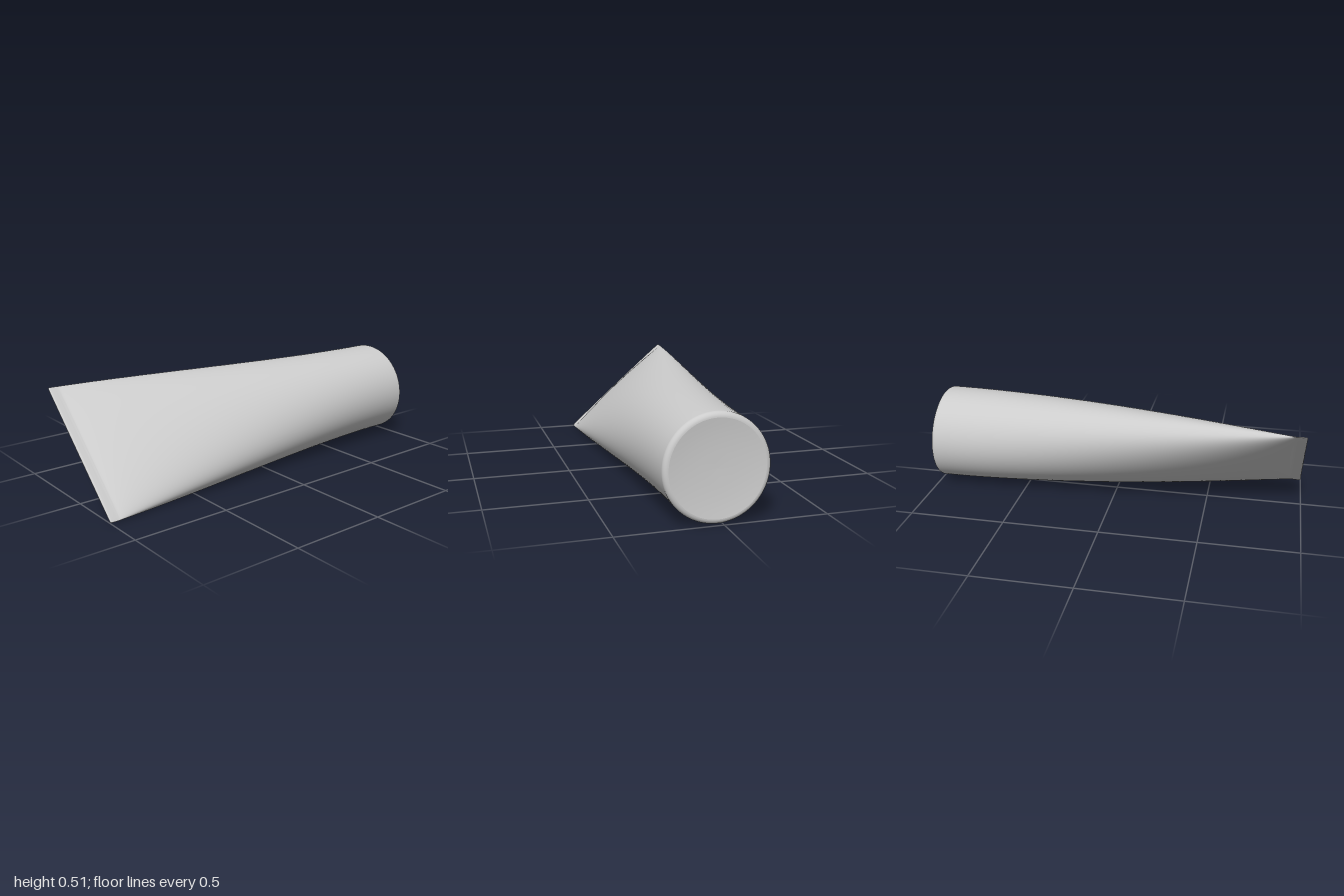
import * as THREE from 'three';

const SIDES = 96;
const U = new THREE.Vector2(0.748, -0.663); // direction of the flat seal
const V = new THREE.Vector2(0.663, 0.748);  // direction of the tube's thickness
const lerp = THREE.MathUtils.lerp;

// Ring of points: z position, half width a, half thickness b, point = sharpness of the ends
function ring({ z, a, b, point = 1 }) {
  const t = (z + 1) / 2;
  const cx = lerp(0.027, 0, t), cy = lerp(0.258, 0.262, t);
  const pts = [];
  for (let i = 0; i < SIDES; i++) {
    const ang = (i / SIDES) * Math.PI * 2;
    const s = Math.sin(ang);
    const u = a * Math.cos(ang);
    const v = b * Math.sign(s) * Math.pow(Math.abs(s), point);
    const dx = u * U.x + v * V.x, dy = u * U.y + v * V.y;
    // both ends are cut slightly askew
    const skew = lerp(0.04 * dy, 0.02 * dx, t);
    pts.push(cx + dx, cy + dy, z + skew);
  }
  return pts;
}

// Smooth skin over a list of rings running from back to front
function loft(name, sections, material) {
  const pos = sections.flatMap(ring);
  const index = [];
  for (let r = 0; r < sections.length - 1; r++) {
    for (let i = 0; i < SIDES; i++) {
      const p = r * SIDES + i, q = r * SIDES + (i + 1) % SIDES;
      index.push(p, q, p + SIDES, q, q + SIDES, p + SIDES);
    }
  }
  const geo = new THREE.BufferGeometry();
  geo.setAttribute('position', new THREE.Float32BufferAttribute(pos, 3));
  geo.setIndex(index);
  geo.computeVertexNormals();
  const mesh = new THREE.Mesh(geo, material);
  mesh.name = name;
  return mesh;
}

export function createModel() {
  const group = new THREE.Group();
  group.name = 'squeezeTube';
  const mat = new THREE.MeshStandardMaterial({ color: 0xcccccc, side: THREE.DoubleSide });
  const R = 0.251, back = -0.988, rim = 0.025, sealStart = 0.95;
  const sealA = 0.385, sealB = 0.008;

  // Slightly dished end disc
  const disc = [[0, 0.012], [0.08, 0.011], [0.15, 0.008], [0.2, 0.003], [R - rim, 0]]
    .map(([r, dz]) => ({ z: back + dz, a: r, b: r }));
  group.add(loft('endCap', disc, mat));

  // Rounded rim, then a round tube that flattens and widens towards the seal
  const body = [];
  for (let i = 0; i <= 8; i++) {
    const ang = (i / 8) * Math.PI / 2;
    const r = R - rim + rim * Math.sin(ang);
    body.push({ z: back + rim * (1 - Math.cos(ang)), a: r, b: r });
  }
  for (let i = 1; i <= 56; i++) {
    const t = 1 - Math.pow(1 - i / 56, 1.6);
    const full = Math.pow(1 - Math.pow(t, 1.8), 0.72); // 1 = round, 0 = flat
    body.push({
      z: lerp(back + rim, sealStart, t),
      a: Math.sqrt(lerp(sealA * sealA, R * R, full * full)) - 0.024 * full * (1 - full),
      b: Math.max(R * full, sealB),
      point: 1 - 0.28 * t * t, // side folds stay plump near the seal
    });
  }
  group.add(loft('tubeBody', body, mat));

  // Flat pressed seal with a rounded front edge
  const seal = [
    { z: sealStart, a: sealA, b: sealB, point: 0.72 },
    { z: 0.96, a: sealA, b: 0.007, point: 0.6 },
    { z: 0.984, a: sealA, b: 0.009, point: 0.5 },
    { z: 0.991, a: sealA - 0.001, b: 0.007, point: 0.5 },
    { z: 0.994, a: sealA - 0.004, b: 0.003, point: 0.5 },
    { z: 0.9945, a: sealA - 0.006, b: 0 },
  ];
  group.add(loft('crimpedSeal', seal, mat));

  return group;
}
